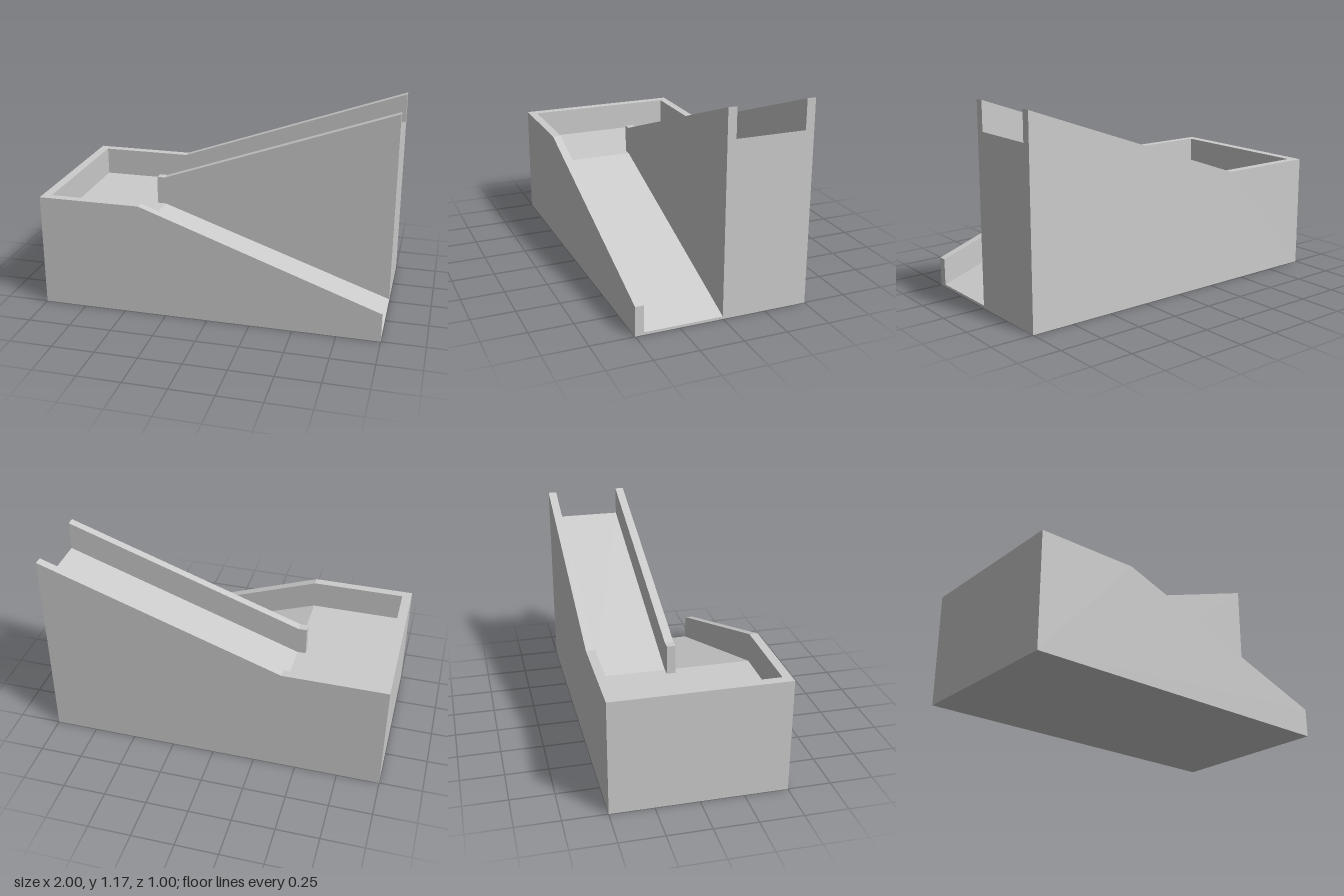
import * as THREE from 'three';

const material = new THREE.MeshStandardMaterial({ color: 0xcccccc });

// Key stations along x, and the heights of deck and parapet
const END = 1, BEND = -0.4, NOSE = -0.45, INNER = -0.945;
const DECK = 0.5, PARAPET = 0.17, RISE = 0.5, LIP = 0.015;

// Solid under a side profile (points run from left to right along the top), between two z planes
function profileSolid(name, top, z0, z1) {
  const first = top[0], last = top[top.length - 1];
  const outline = [[first[0], 0], [last[0], 0], ...[...top].reverse()];
  const shape = new THREE.Shape(outline.map(([x, y]) => new THREE.Vector2(x, y)));
  const geometry = new THREE.ExtrudeGeometry(shape, { depth: z1 - z0, bevelEnabled: false });
  geometry.translate(0, 0, z0);
  const mesh = new THREE.Mesh(geometry, material);
  mesh.name = name;
  return mesh;
}

// Flat stretch from startX to the bend, then a straight slope to the end
const slope = (startX, flatY, endY) => [[startX, flatY], [BEND, flatY], [END, endY]];

export function createModel() {
  const group = new THREE.Group();
  group.name = 'switchbackRamp';
  const wallTop = DECK + PARAPET;

  group.add(
    // Parapet walls, running full height to the ground
    profileSolid('frontWall', slope(-1, wallTop, wallTop - RISE), 0.45, 0.5),
    profileSolid('backWall', slope(-1, wallTop, wallTop + RISE), -0.5, -0.45),
    profileSolid('dividerWall', slope(NOSE, wallTop, wallTop + RISE), -0.05, 0),
    profileSolid('endWall', [[-1, wallTop], [INNER, wallTop]], -0.45, 0.45),

    // Turning platform and the two ramps that leave it
    profileSolid('landing', [[INNER, DECK], [NOSE, DECK]], -0.45, 0.45),
    profileSolid('lowerRamp', slope(NOSE, DECK, LIP), 0, 0.45),
    profileSolid('upperRamp', slope(NOSE, DECK, DECK + RISE), -0.45, -0.05)
  );
  return group;
}
